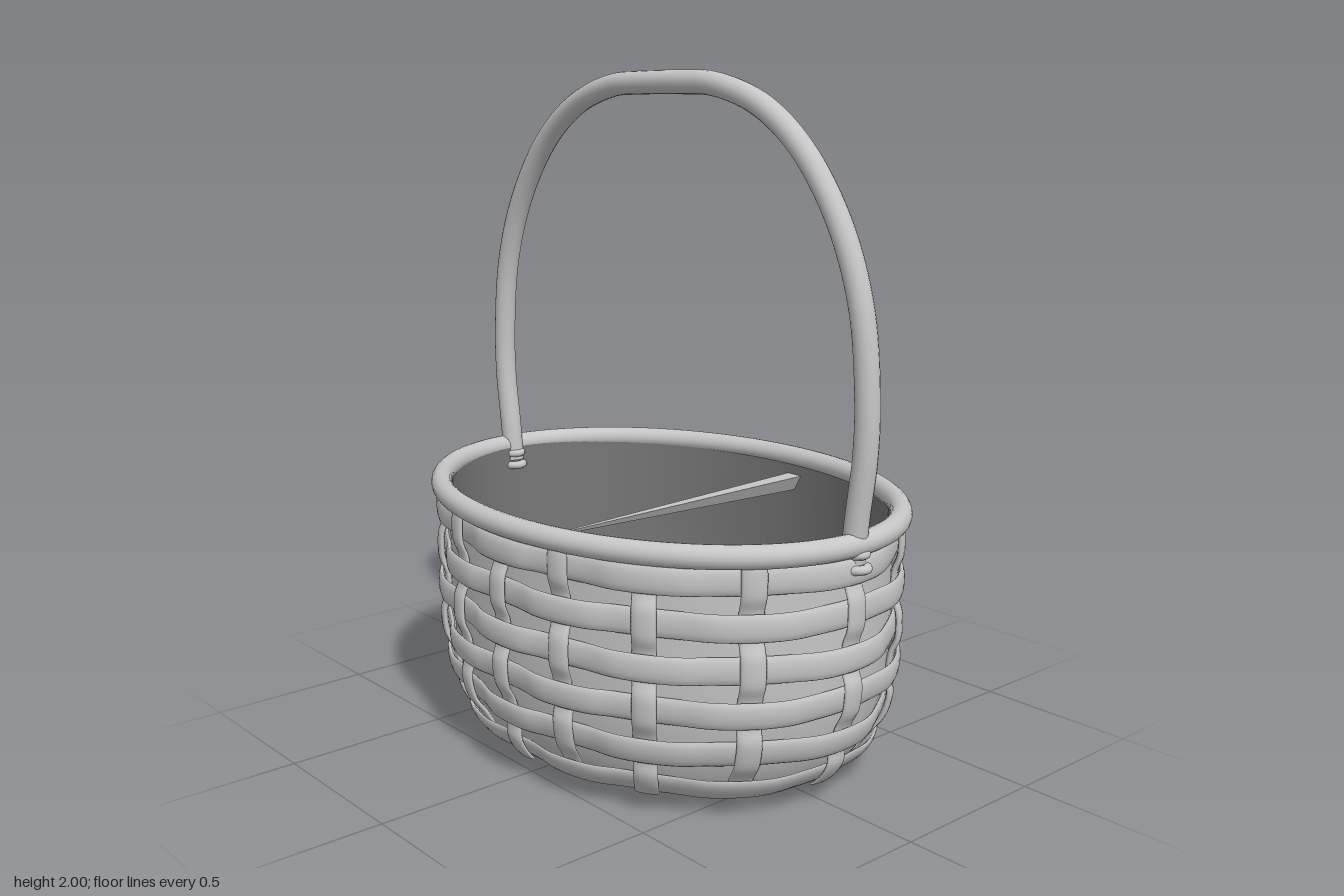
import * as THREE from 'three';
import { ParametricGeometry } from 'three/addons/geometries/ParametricGeometry.js';

const DEPTH = 0.76; // basket depth relative to its width
const ROW_GAP = 0.122, TOP_ROW = 0.7;
const STAKES = 16;
const OFFSET = 0.018, SWING = 0.01, THICK = 0.011; // weave distances from the wall

// half width of the wall at height y
function wall(y) {
  const t = Math.max(0, 1 - y / 0.45);
  return 0.764 * Math.pow(1 - t * t, 0.12);
}

// distance from the axis to an ellipse of half width a, at polar angle th (0 = front)
function ellipse(th, a) {
  return a / Math.hypot(Math.sin(th), Math.cos(th) / DEPTH);
}

// flattened over-and-under wave between -1 and 1
function wave(angle) {
  return Math.tanh(1.6 * Math.cos(angle)) / Math.tanh(1.6);
}

// oval bowl, moved inwards and upwards by inset
function bowl(inset) {
  const profile = [new THREE.Vector2(0, 0.003 + inset), new THREE.Vector2(0.3, 0.003 + inset)];
  for (let i = 0; i <= 24; i++) {
    const y = 0.004 + 0.766 * Math.pow(i / 24, 2.5);
    profile.push(new THREE.Vector2(wall(y) - inset, Math.min(0.77, y + inset)));
  }
  return new THREE.LatheGeometry(profile, 96).scale(1, 1, DEPTH);
}

export function createModel() {
  const basket = new THREE.Group();
  basket.name = 'basket';
  const wicker = new THREE.MeshStandardMaterial({ color: 0xc6c6c6, side: THREE.DoubleSide });
  wicker.name = 'light grey wicker';
  const dark = new THREE.MeshStandardMaterial({ color: 0x777777, side: THREE.DoubleSide });
  dark.name = 'dark grey lining';

  function add(name, geometry, material = wicker) {
    const mesh = new THREE.Mesh(geometry, material);
    mesh.name = name;
    basket.add(mesh);
    return mesh;
  }

  // shell behind the weave, and the darker lining inside it
  add('shell', bowl(0));
  add('lining', bowl(0.009), dark);

  // horizontal strands weaving over and under the stakes
  for (let row = 0; row < 6; row++) {
    const y0 = TOP_ROW - row * ROW_GAP;
    const side = row % 2 ? -1 : 1;
    add('strand' + (row + 1), new ParametricGeometry((u, v, p) => {
      const th = u * Math.PI * 2, phi = v * Math.PI * 2;
      const y = y0 + 0.039 * Math.sin(phi);
      const r = ellipse(th, wall(y)) + OFFSET
        + SWING * side * wave(th * STAKES / 2) + THICK * Math.cos(phi);
      p.set(r * Math.sin(th), y, r * Math.cos(th));
    }, 256, 12));
  }

  // upright stakes, waving opposite to the strands
  for (let k = 0; k < STAKES; k++) {
    const th = k / STAKES * Math.PI * 2;
    const side = k % 2 ? 1 : -1;
    add('stake' + (k + 1), new ParametricGeometry((u, v, p) => {
      const phi = u * Math.PI * 2;
      const y = 0.045 + 0.72 * v;
      const size = v === 0 ? 0.05 : 1;
      const across = 0.033 * size * Math.sin(phi);
      const angle = th + across / ellipse(th, wall(y));
      const r = ellipse(angle, wall(y)) + OFFSET
        + SWING * side * wave(Math.PI * (TOP_ROW - y) / ROW_GAP)
        + THICK * size * Math.cos(phi);
      p.set(r * Math.sin(angle), y, r * Math.cos(angle));
    }, 12, 60));
  }

  // round rim
  add('rim', new ParametricGeometry((u, v, p) => {
    const th = u * Math.PI * 2, phi = v * Math.PI * 2;
    const r = ellipse(th, 0.787) + 0.033 * Math.cos(phi);
    p.set(r * Math.sin(th), 0.77 + 0.033 * Math.sin(phi), r * Math.cos(th));
  }, 128, 16));

  // arched handle, mirrored from one half
  const half = [[0.772, 0.72], [0.785, 0.85], [0.805, 1.0], [0.808, 1.15], [0.78, 1.39],
    [0.7, 1.6], [0.56, 1.79], [0.4, 1.905], [0.22, 1.96], [0.1, 1.966]];
  const points = [
    ...half.map(([x, y]) => new THREE.Vector3(-x, y, 0)),
    ...half.slice().reverse().map(([x, y]) => new THREE.Vector3(x, y, 0)),
  ];
  add('handle', new THREE.TubeGeometry(new THREE.CatmullRomCurve3(points), 120, 0.034, 16));

  // bindings around the handle ends, passing through the wall
  for (const s of [-1, 1]) {
    for (const [y, radius] of [[0.745, 0.026], [0.705, 0.031]]) {
      const ring = add('handleBinding',
        new THREE.TorusGeometry(radius, 0.013, 10, 32).rotateX(Math.PI / 2).scale(1.2, 1, 1));
      ring.position.set(s * 0.777, y, 0);
    }
  }

  // thin tapering splint across the inside
  const splint = add('crossSplint',
    new THREE.ConeGeometry(0.036, 1.18, 3).toNonIndexed().rotateX(Math.PI / 2));
  splint.geometry.computeVertexNormals();
  splint.position.set(0, 0.7, -0.045);

  return basket;
}
